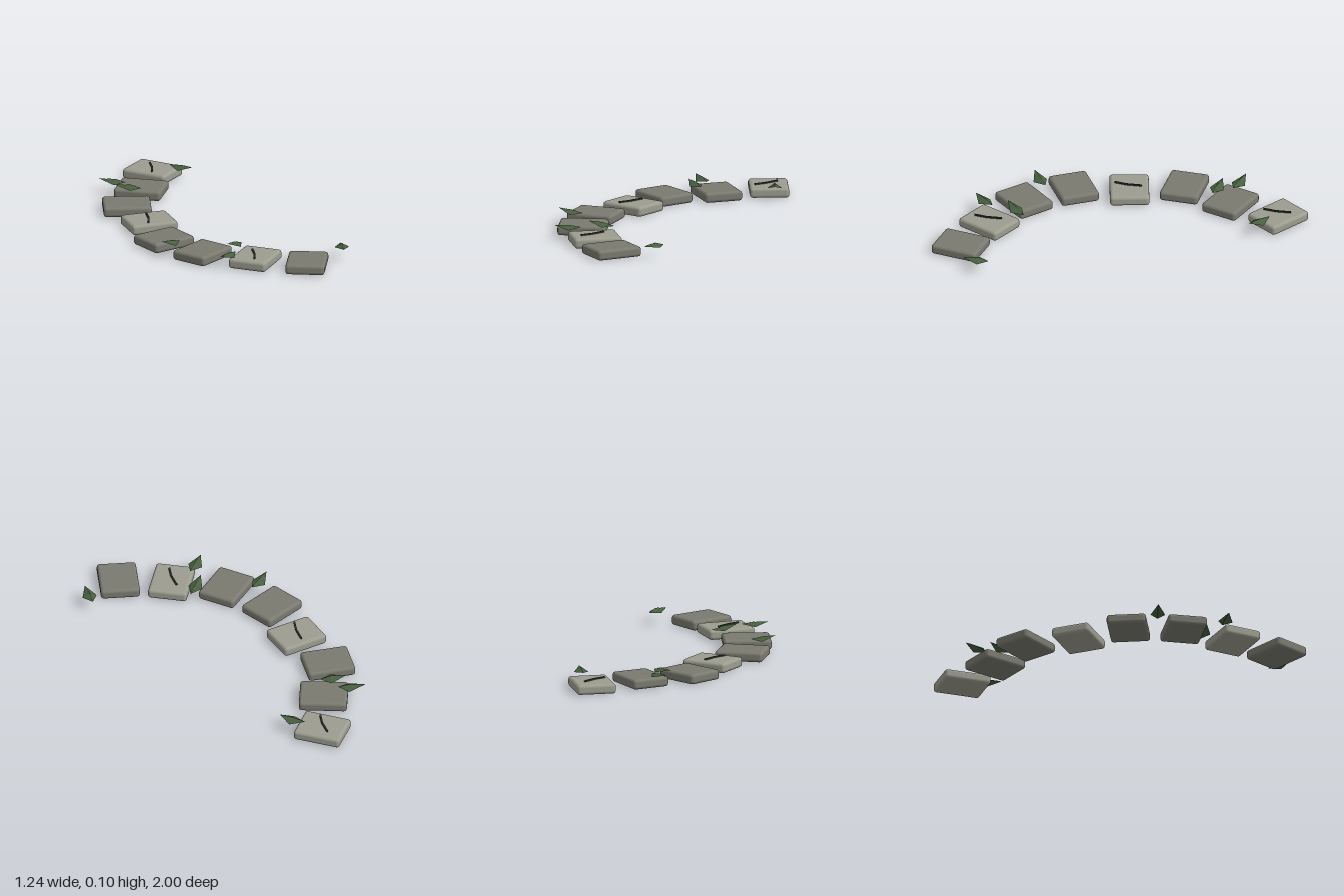
import * as THREE from 'three';
import { RoundedBoxGeometry } from 'three/addons/geometries/RoundedBoxGeometry.js';

const mat = (name, color, extra = {}) => {
  const m = new THREE.MeshStandardMaterial({ color, ...extra });
  m.name = name;
  return m;
};

// Triangles from a short list of points and corner indices
function faces(points, index) {
  const g = new THREE.BufferGeometry();
  g.setAttribute('position', new THREE.Float32BufferAttribute(points.flat(), 3));
  g.setIndex(index);
  const flat = g.toNonIndexed();
  flat.computeVertexNormals();
  return flat;
}

export function createModel() {
  const model = new THREE.Group();
  const darkStone = mat('dark stone', 0x7a7a70);
  const lightStone = mat('light stone', 0x9c9d8f);
  const crackMat = mat('crack', 0x30322e);
  const leafMat = mat('leaf green', 0x465f3e, { side: THREE.DoubleSide, flatShading: true });
  const veinMat = mat('leaf vein', 0x2c3d28, { side: THREE.DoubleSide, flatShading: true });

  // Stepping stones: x, z along a curved path, each turned a little further
  const height = 0.058;
  const stoneGeo = new RoundedBoxGeometry(0.275, height, 0.225, 3, 0.018);
  const stones = [
    [-0.245, 0.831], [-0.367, 0.553], [-0.465, 0.25], [-0.422, -0.063],
    [-0.232, -0.317], [-0.082, -0.595], [0.208, -0.717], [0.493, -0.855],
  ];

  // Crack: a thin bent strip, the same on every light stone
  const crackLine = [[-0.075, -0.052], [-0.015, -0.009], [0.045, 0.055]];
  const w = 0.005;
  const crackShape = new THREE.Shape([
    ...crackLine.map(([x, y]) => new THREE.Vector2(x + w * 0.7, y - w * 0.7)),
    ...crackLine.slice().reverse().map(([x, y]) => new THREE.Vector2(x - w * 0.7, y + w * 0.7)),
  ]);
  const crackGeo = new THREE.ExtrudeGeometry(crackShape, { depth: 0.008, bevelEnabled: false });
  crackGeo.rotateX(-Math.PI / 2);

  stones.forEach(([x, z], i) => {
    const light = i % 3 === 1;
    const stone = new THREE.Mesh(stoneGeo, light ? lightStone : darkStone);
    stone.name = 'steppingStone' + (i + 1);
    stone.position.set(x, height / 2, z);
    stone.rotation.y = THREE.MathUtils.degToRad(32.7 - 16.36 * i);
    model.add(stone);
    if (light) {
      const crack = new THREE.Mesh(crackGeo, crackMat);
      crack.name = 'crack' + (i + 1);
      crack.position.set(x, height, z);
      model.add(crack);
    }
  });

  // Fallen leaf: folded along a raised midrib from tip to base
  function addLeaf(name, tip, base, along = 0.52, ridge = 0.09) {
    const a = new THREE.Vector3(...tip), b = new THREE.Vector3(...base);
    const mid = a.clone().lerp(b, along).setY(ridge);
    const side = new THREE.Vector3(b.z - a.z, 0, a.x - b.x).normalize();
    const edge = (s, d, drop) => mid.clone().addScaledVector(side, s * d).setY(ridge - drop);
    const l = edge(1, 0.042, 0.022), r = edge(-1, 0.042, 0.022);
    const leaf = new THREE.Group();
    leaf.name = name;
    const blade = new THREE.Mesh(faces([a, l, mid, r, b].map(p => p.toArray()),
      [0, 1, 2, 0, 2, 3, 1, 4, 2, 2, 4, 3]), leafMat);
    blade.name = 'blade';

    // Narrow vein lying on the ridge
    const lift = p => [p.x, p.y + 0.001, p.z];
    const vl = edge(1, 0.003, 0), vr = edge(-1, 0.003, 0);
    const vein = new THREE.Mesh(faces([a, vl, vr, b].map(lift), [0, 1, 2, 1, 3, 2]), veinMat);
    vein.name = 'vein';
    leaf.add(blade, vein);
    model.add(leaf);
  }

  // Tip and base of each leaf as x, y, z
  [
    [[-0.05, 0.08, 0.947], [0.055, 0.072, 0.841], 0.6],
    [[-0.604, 0.09, 0.487], [-0.451, 0.08, 0.476]],
    [[-0.42, 0.1, 0.392], [-0.272, 0.068, 0.381]],
    [[-0.62, 0.1, 0.074], [-0.478, 0.075, 0.095]],
    [[0.071, 0.09, -0.915], [0.145, 0.075, -0.778], 0.6],
    [[0.04, 0.09, -0.778], [0.124, 0.072, -0.651], 0.6],
    [[0.551, 0.09, -0.614], [0.536, 0.08, -0.767], 0.47],
  ].forEach(([tip, base, along], i) => addLeaf('leaf' + (i + 1), tip, base, along));

  return model;
}
